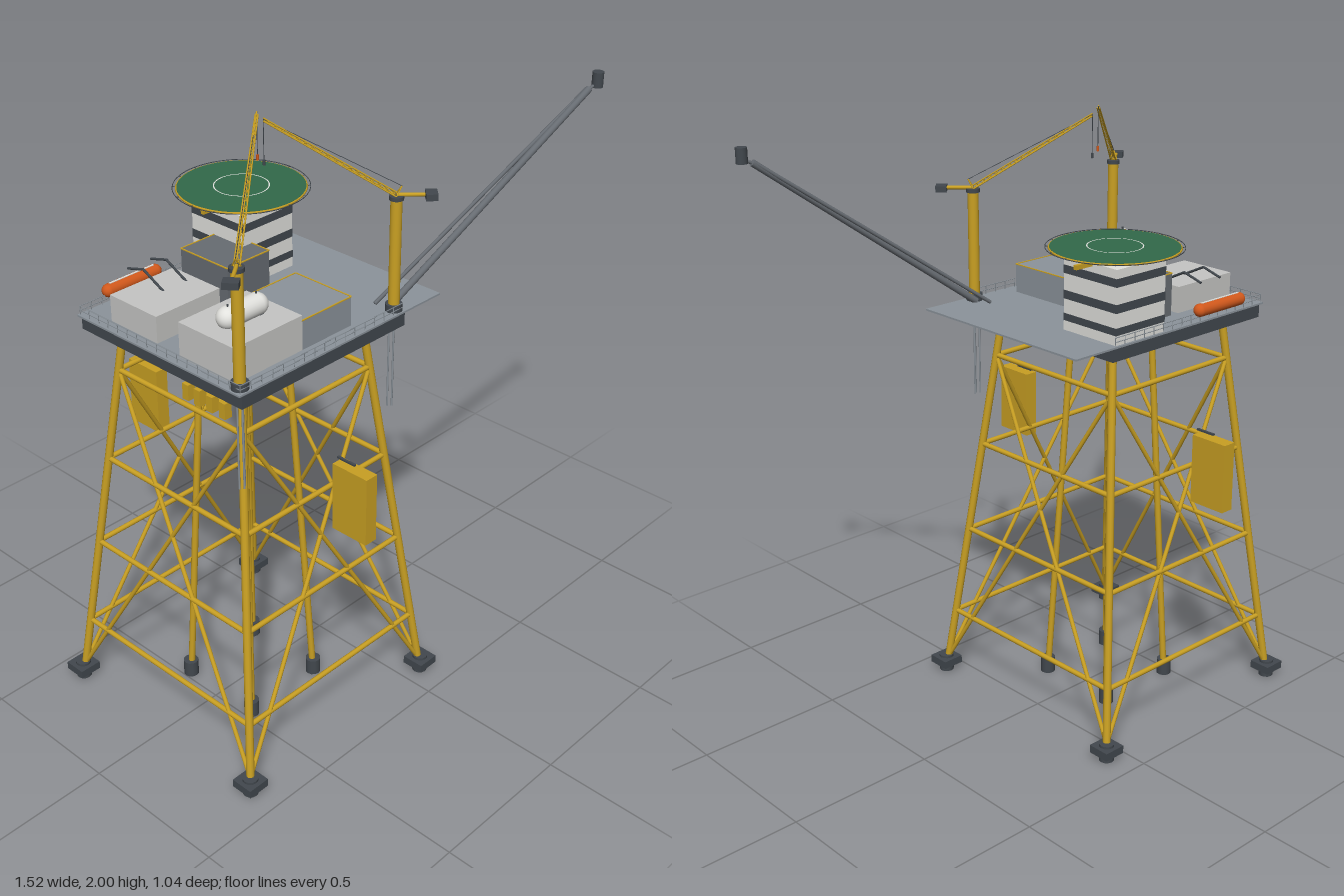
import * as THREE from 'three';

const mat = (name, color) => {
  const m = new THREE.MeshStandardMaterial({ color });
  m.name = name;
  return m;
};

export function createModel() {
  const yellow = mat('yellow steel', 0xc9a023);
  const dark = mat('dark steel', 0x42484e);
  const deckGrey = mat('deck grey', 0x8c949b);
  const lightGrey = mat('light cladding', 0xc6c6c4);
  const midGrey = mat('mid grey steel', 0x676c72);
  const white = mat('white paint', 0xe2e2de);
  const orange = mat('rescue orange', 0xd2591c);
  const green = mat('landing green', 0x32694a);

  const model = new THREE.Group();
  const V = (x, y, z) => new THREE.Vector3(x, y, z);
  const UP = V(0, 1, 0);

  const section = (name, parent = model) => {
    const g = new THREE.Group();
    g.name = name;
    parent.add(g);
    return g;
  };
  const add = (parent, name, geo, m, x = 0, y = 0, z = 0) => {
    const mesh = new THREE.Mesh(geo, m);
    mesh.name = name;
    mesh.position.set(x, y, z);
    parent.add(mesh);
    return mesh;
  };
  // Box given by its min and max on each axis
  const box = (p, name, m, x0, x1, y0, y1, z0, z1) =>
    add(p, name, new THREE.BoxGeometry(x1 - x0, y1 - y0, z1 - z0), m, (x0 + x1) / 2, (y0 + y1) / 2, (z0 + z1) / 2);
  // Upright cylinder standing on y0
  const post = (p, name, m, r, x, y0, y1, z, n = 16) =>
    add(p, name, new THREE.CylinderGeometry(r, r, y1 - y0, n), m, x, (y0 + y1) / 2, z);
  // Round bar between two points
  const rod = (p, name, m, a, b, r, n = 10) => {
    const d = b.clone().sub(a);
    const mesh = add(p, name, new THREE.CylinderGeometry(r, r, d.length(), n), m);
    mesh.position.copy(a).add(b).multiplyScalar(0.5);
    mesh.quaternion.setFromUnitVectors(UP, d.normalize());
    return mesh;
  };

  // Jacket: four battered corner legs, four inner piles
  const CX = -0.33;
  const jacket = section('jacket');
  const half = y => 0.4 - 0.113 * y;
  const inner = y => 0.145 - 0.042 * y;
  const corners = [[1, 1], [-1, 1], [-1, -1], [1, -1]];
  const at = ([sx, sz], y, f = half) => V(CX + sx * f(y), y, sz * f(y));
  corners.forEach((c, i) => {
    const next = corners[(i + 1) % 4];
    rod(jacket, 'cornerLeg', yellow, at(c, 0.03), at(c, 1.33), 0.013);
    rod(jacket, 'innerPile', yellow, at(c, 0.03, inner), at(c, 1.33, inner), 0.011);
    for (const y of [0.235, 0.55, 0.865, 1.18]) rod(jacket, 'girt', yellow, at(c, y), at(next, y), 0.0085);
    rod(jacket, 'crossBrace', yellow, at(c, 0.05), at(next, 1.18), 0.007);
    rod(jacket, 'crossBrace', yellow, at(next, 0.05), at(c, 1.18), 0.007);
    // Feet
    const f = at(c, 0), g = at(c, 0, inner);
    box(jacket, 'footPlate', dark, f.x - 0.038, f.x + 0.038, 0.025, 0.052, f.z - 0.038, f.z + 0.038);
    post(jacket, 'footSleeve', dark, 0.025, f.x, 0, 0.06, f.z, 12);
    post(jacket, 'pileFoot', dark, 0.025, g.x, 0, 0.055, g.z, 12);
  });

  // Outboard panels on the front and back of the jacket
  for (const s of [1, -1]) {
    const p = section('outboardPanel');
    add(p, 'panel', new THREE.BoxGeometry(0.045, 0.228, 0.133), yellow, CX, 0.906, s * 0.453);
    add(p, 'panelBar', new THREE.BoxGeometry(0.008, 0.006, 0.068), dark, CX, 1.033, s * 0.42);
  }

  // Deck, with a thin plate overhanging to one side
  const deck = section('deck');
  box(deck, 'deckHull', dark, -0.665, 0.008, 1.32, 1.363, -0.337, 0.34);
  box(deck, 'deckPlate', deckGrey, -0.676, 0.167, 1.363, 1.369, -0.343, 0.343);
  for (const z of [0.273, 0.222, 0.172, 0.125]) box(deck, 'hangingBlock', yellow, -0.678, -0.652, 1.27, 1.32, z - 0.012, z + 0.012);

  // Risers hanging below the cranes
  for (const x of [-0.645, -0.018]) for (const d of [-0.011, 0, 0.011])
    post(deck, 'riser', deckGrey, 0.003, x + d, 1.045, 1.37, 0.32 - Math.abs(d) * 0.8, 6);

  // Handrails
  const rail = section('handrail');
  const ring = [V(-0.668, 0, 0.338), V(0.0, 0, 0.338), V(0.0, 0, -0.338), V(-0.668, 0, -0.338)];
  ring.forEach((a, i) => {
    if (i === 1) return;
    const b = ring[(i + 1) % 4];
    for (const y of [1.382, 1.396]) rod(rail, 'railBar', deckGrey, a.clone().setY(y), b.clone().setY(y), 0.0014, 5);
    for (let k = 0; k <= 16; k++) {
      const q = a.clone().lerp(b, k / 16);
      post(rail, 'railPost', deckGrey, 0.0014, q.x, 1.368, 1.396, q.z, 5);
    }
  });

  // Process modules
  const modules = section('modules');
  box(modules, 'frontLightModule', lightGrey, -0.64, -0.375, 1.368, 1.48, 0.065, 0.288);
  box(modules, 'frontGreyModule', deckGrey, -0.375, -0.172, 1.368, 1.463, 0.065, 0.288);
  box(modules, 'backLightModule', lightGrey, -0.632, -0.385, 1.368, 1.455, -0.238, 0 - 0.038);
  box(modules, 'backDarkModule', midGrey, -0.352, -0.18, 1.368, 1.506, -0.238, -0.038);
  // Thin yellow edge trim
  const trim = (x0, x1, y, z0, z1) => {
    for (const z of [z0, z1]) box(modules, 'edgeTrim', yellow, x0, x1, y, y + 0.003, z - 0.002, z + 0.002);
    for (const x of [x0, x1]) box(modules, 'edgeTrim', yellow, x - 0.002, x + 0.002, y, y + 0.003, z0, z1);
  };
  trim(-0.375, -0.172, 1.462, 0.065, 0.288);
  trim(-0.352, -0.18, 1.505, -0.238, -0.038);

  // Pressure tank
  const tank = section('tank');
  add(tank, 'tankBody', new THREE.CapsuleGeometry(0.034, 0.112, 10, 24), white, -0.5, 1.503, 0.177).rotation.z = Math.PI / 2;
  for (const x of [-0.555, -0.5, -0.445]) post(tank, 'tankValve', dark, 0.003, x, 1.53, 1.543, 0.177, 8);
  for (const x of [-0.55, -0.45]) box(tank, 'saddle', midGrey, x - 0.008, x + 0.008, 1.478, 1.495, 0.15, 0.204);

  // Lifeboat and davits
  const boat = section('lifeboat');
  add(boat, 'boatHull', new THREE.CapsuleGeometry(0.021, 0.183, 8, 20), orange, -0.463, 1.405, -0.341).rotation.z = Math.PI / 2;
  box(boat, 'boatStripe', white, -0.55, -0.376, 1.4245, 1.4275, -0.344, -0.338);
  for (const x of [-0.508, -0.418]) {
    rod(boat, 'davit', dark, V(x, 1.45, -0.14), V(x, 1.495, -0.23), 0.004, 8);
    rod(boat, 'davit', dark, V(x, 1.495, -0.23), V(x, 1.475, -0.3), 0.004, 8);
  }

  // Living quarters: stacked cladding and window bands
  const quarters = section('quarters');
  const levels = [1.368, 1.4, 1.423, 1.469, 1.496, 1.549, 1.575, 1.603];
  for (let i = 0; i < 7; i++) {
    const k = i % 2 ? 0.001 : 0;
    box(quarters, i % 2 ? 'windowBand' : 'cladding', i % 2 ? dark : white,
      -0.215 - k, -0.005 + k, levels[i], levels[i + 1], -0.335 - k, -0.112 + k);
  }

  // Helideck
  const heli = section('helideck');
  const HX = -0.105, HZ = -0.228, HY = 1.635;
  const circle = (name, m, R, r, y) =>
    (add(heli, name, new THREE.TorusGeometry(R, r, 6, 64), m, HX, y, HZ).rotation.x = Math.PI / 2);
  add(heli, 'landingPad', new THREE.CylinderGeometry(0.198, 0.198, 0.007, 64), green, HX, HY - 0.002, HZ);
  circle('padRim', yellow, 0.199, 0.0035, HY - 0.002);
  circle('safetyNet', dark, 0.211, 0.0013, HY);
  add(heli, 'touchdownRing', new THREE.RingGeometry(0.083, 0.087, 64), white, HX, HY + 0.003, HZ).rotation.x = -Math.PI / 2;
  for (let i = 0; i < 16; i++) {
    const a = i * Math.PI / 8, c = Math.cos(a), s = Math.sin(a);
    rod(heli, 'netArm', dark, V(HX + 0.2 * c, HY - 0.002, HZ + 0.2 * s), V(HX + 0.211 * c, HY, HZ + 0.211 * s), 0.0013, 5);
    if (i % 2 === 0) rod(heli, 'padStrut', dark, V(HX + 0.07 * c, 1.6, HZ + 0.07 * s), V(HX + 0.185 * c, HY - 0.006, HZ + 0.185 * s), 0.004, 8);
  }
  box(heli, 'supportBeam', yellow, -0.27, 0.062, 1.594, 1.608, HZ - 0.006, HZ + 0.006);

  // Pedestal cranes with laced booms
  const crane = (x, z, tip, drop, hook) => {
    const g = section('crane');
    const base = V(x, 1.738, z);
    post(g, 'pedestalCollar', dark, 0.026, x, 1.368, 1.392, z, 20);
    post(g, 'pedestal', yellow, 0.0175, x, 1.368, 1.728, z, 20);
    post(g, 'slewRing', dark, 0.022, x, 1.724, 1.736, z, 20);
    const flat = V(tip.x - x, 0, tip.z - z).normalize();
    const side = V(-flat.z, 0, flat.x);
    const turn = Math.atan2(-flat.z, flat.x);
    const cw = base.clone().addScaledVector(flat, -0.1);
    rod(g, 'tailArm', yellow, base, cw, 0.006, 8);
    add(g, 'counterweight', new THREE.BoxGeometry(0.035, 0.02, 0.045), dark, cw.x, 1.736, cw.z).rotation.y = turn;
    const mast = base.clone().addScaledVector(flat, -0.015).setY(1.765);
    for (const s of [-1, 1]) rod(g, 'mastLeg', yellow, base.clone().addScaledVector(side, s * 0.012), mast, 0.002, 6);
    rod(g, 'pendantWire', dark, mast, tip, 0.001, 5);
    // Three chords and their lacing
    const lift = V(0, 0.008, 0);
    const chord = (k, t) => {
      const w = 1 - 0.55 * t, p = base.clone().lerp(tip, t);
      return k === 2 ? p.addScaledVector(lift, w) : p.addScaledVector(side, (k ? 1 : -1) * 0.0085 * w).addScaledVector(lift, -0.5);
    };
    const N = 18;
    for (let k = 0; k < 3; k++) {
      rod(g, 'boomChord', yellow, chord(k, 0), chord(k, 1), 0.0022, 6);
      for (let i = 0; i < N; i++) rod(g, 'boomLace', yellow, chord(k, i / N), chord((k + 1) % 3, (i + 1) / N), 0.0011, 5);
    }
    const end = tip.clone().setY(drop);
    rod(g, 'hoistWire', dark, tip, end, 0.0012, 5);
    post(g, 'hookBlock', hook, 0.004, tip.x, drop - 0.008, drop + 0.008, tip.z, 8);
  };
  crane(-0.645, 0.313, V(-0.3, 1.993, 0.045), 1.862, orange);
  crane(-0.012, 0.313, V(-0.28, 1.97, 0.05), 1.842, dark);

  // Flare boom
  const flare = section('flareBoom');
  rod(flare, 'mainTube', midGrey, V(0.0, 1.372, 0.292), V(0.71, 1.9, 0.452), 0.011, 14);
  rod(flare, 'sideTube', midGrey, V(-0.025, 1.372, 0.25), V(0.705, 1.9, 0.446), 0.006, 10);
  post(flare, 'flareTip', dark, 0.018, 0.739, 1.9, 1.948, 0.46, 16);
  rod(flare, 'tipNeck', midGrey, V(0.7, 1.893, 0.45), V(0.739, 1.915, 0.46), 0.005, 8);

  return model;
}
